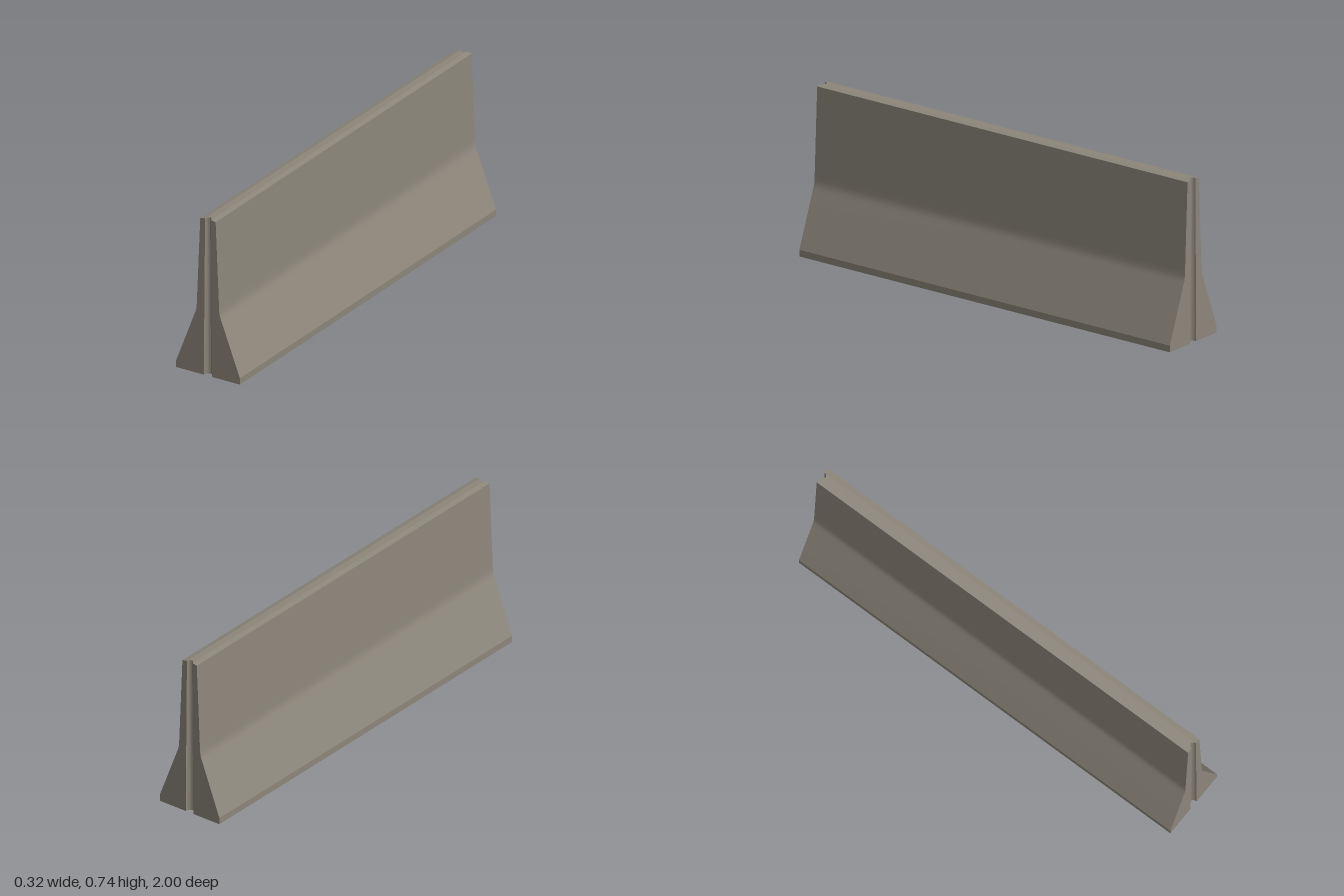
import * as THREE from 'three';
import { toCreasedNormals } from 'three/addons/utils/BufferGeometryUtils.js';

// Half width of the barrier at each height: foot, slope, soft bend, stem, crown
const PROFILE = [
  [0.162, 0], [0.162, 0.03], [0.07, 0.27], [0.0645, 0.284], [0.06, 0.298],
  [0.0572, 0.315], [0.0561, 0.34], [0.039, 0.733], [0.0152, 0.738],
];
const HALF_LENGTH = 1;
const ARC_STEPS = 12;

// Plan outline [x, z] at one height, with a round groove in each end
function outline(w, y) {
  const r = 0.021 - 0.0085 * y;
  const half = [[w, HALF_LENGTH], [w, -HALF_LENGTH]];
  for (let i = 0; i <= ARC_STEPS; i++) {
    const a = (Math.PI * i) / ARC_STEPS;
    half.push([r * Math.cos(a), -HALF_LENGTH + 1.15 * r * Math.sin(a)]);
  }
  return [...half, ...half.map(([x, z]) => [-x, -z])];
}

// Walls lofted through the outlines, open underneath
function wallGeometry() {
  const positions = [];
  const index = [];
  const count = outline(1, 0).length;
  PROFILE.forEach(([w, y], row) => {
    outline(w, y).forEach(([x, z], j) => {
      positions.push(x, y, z);
      if (row === PROFILE.length - 1) return;
      const a = row * count + j;
      const b = row * count + ((j + 1) % count);
      index.push(a, b, b + count, a, b + count, a + count);
    });
  });
  const geometry = new THREE.BufferGeometry();
  geometry.setAttribute('position', new THREE.Float32BufferAttribute(positions, 3));
  geometry.setIndex(index);
  return toCreasedNormals(geometry, 0.3);
}

// Flat strip closing the crown, notched at both ends
function topGeometry() {
  const [w, y] = PROFILE[PROFILE.length - 1];
  const shape = new THREE.Shape(outline(w, y).map(([x, z]) => new THREE.Vector2(x, -z)));
  return new THREE.ShapeGeometry(shape).rotateX(-Math.PI / 2).translate(0, y, 0);
}

export function createModel() {
  const concrete = new THREE.MeshStandardMaterial({ color: 0x8c867a, side: THREE.DoubleSide });
  concrete.name = 'concrete';

  const group = new THREE.Group();
  group.name = 'concreteBarrier';
  const addPart = (name, geometry) => {
    const mesh = new THREE.Mesh(geometry, concrete);
    mesh.name = name;
    group.add(mesh);
  };
  addPart('barrierWalls', wallGeometry());
  addPart('barrierTop', topGeometry());
  return group;
}
